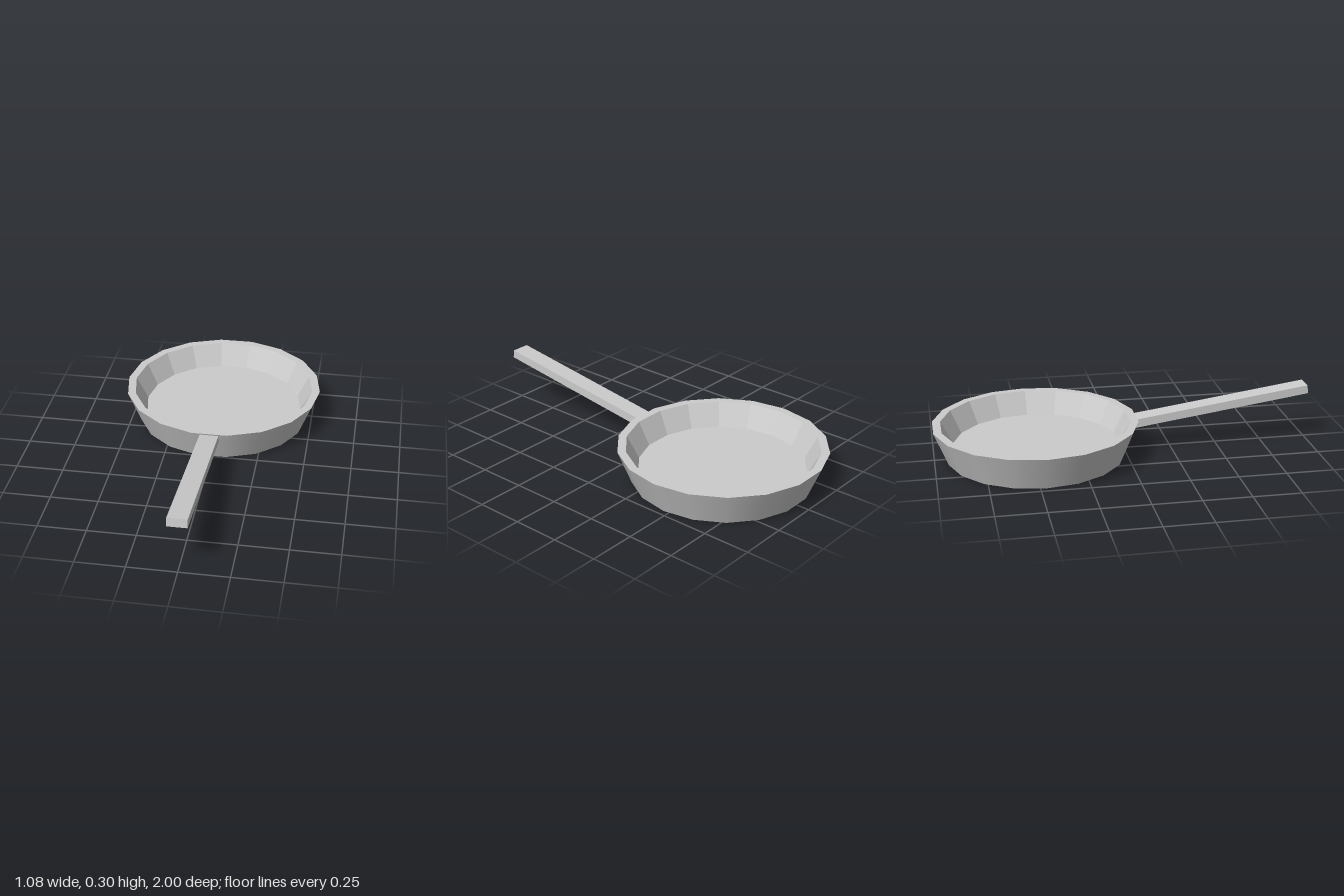
import * as THREE from 'three';

const SIDES = 18;
const PAN_Z = -0.468;

export function createModel() {
  const model = new THREE.Group();
  const smooth = new THREE.MeshStandardMaterial({ color: 0xcccccc });
  const flat = new THREE.MeshStandardMaterial({ color: 0xcccccc, flatShading: true });

  const pan = new THREE.Group();
  pan.name = 'pan';
  pan.position.z = PAN_Z;
  model.add(pan);

  // Turned section with a flat side centred on the handle
  const addTurned = (name, profile, material) => {
    const points = profile.map(([r, y]) => new THREE.Vector2(r, y));
    const geometry = new THREE.LatheGeometry(points, SIDES, Math.PI / SIDES, Math.PI * 2);
    const mesh = new THREE.Mesh(geometry, material);
    mesh.name = name;
    pan.add(mesh);
  };

  addTurned('base', [[0, 0], [0.468, 0]], flat);
  addTurned('outerWall', [[0.468, 0], [0.54, 0.18]], smooth);
  addTurned('rim', [[0.54, 0.18], [0.497, 0.18]], flat);
  addTurned('innerWall', [[0.497, 0.18], [0.434, 0.06]], flat);
  addTurned('floor', [[0.434, 0.06], [0, 0.06]], flat);

  // Straight handle, pivoting about the lower edge of its free end
  const length = 0.98;
  const thickness = 0.045;
  const handleGeometry = new THREE.BoxGeometry(0.1, thickness, length);
  handleGeometry.translate(0, thickness / 2, -length / 2);
  const handle = new THREE.Mesh(handleGeometry, flat);
  handle.name = 'handle';
  handle.position.set(0, 0.26, 1);
  handle.rotation.x = -THREE.MathUtils.degToRad(8.1);
  model.add(handle);

  return model;
}
